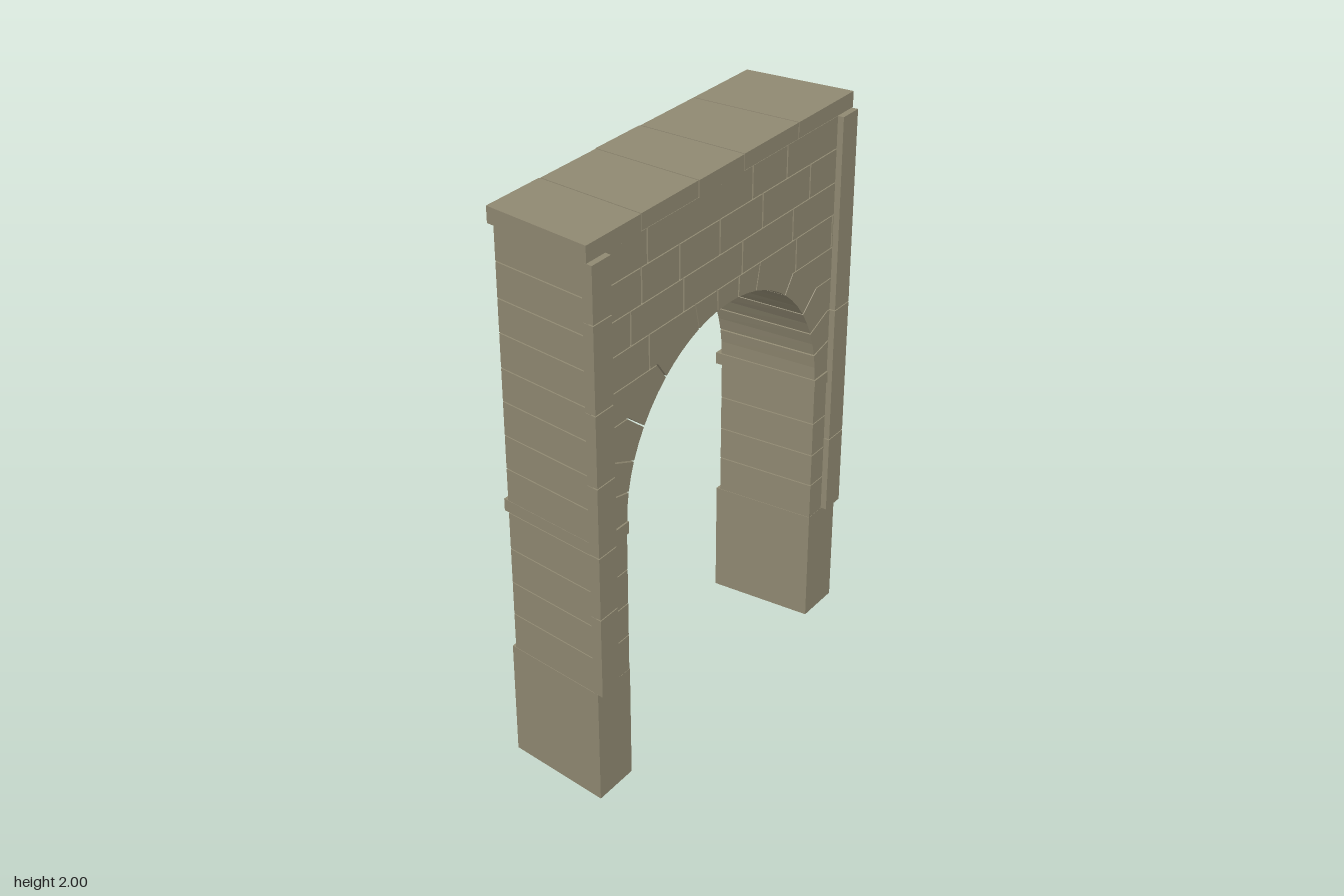
import * as THREE from 'three';

const stone = new THREE.MeshStandardMaterial({ color: 0x8f8871, side: THREE.DoubleSide });
stone.name = 'stone';

const OUT = 0.703, RX = 0.537, RY = 0.525, SPRING = 1.0, BASE = 0.43, TOP = 1.945, CROWN = 1.595;
const FRONT = 0.184, BACK = -0.184;
const BED = 0.002, UPRIGHT = 0.0035; // half widths of the open joints

// The whole arch narrows towards the back
function taper(geometry) {
  const p = geometry.attributes.position;
  for (let i = 0; i < p.count; i++) p.setX(i, p.getX(i) * (1 - 0.15 * (0.2 - p.getZ(i))));
  geometry.computeVertexNormals();
  return geometry;
}

const block = (x0, x1, y0, y1, z0 = BACK, z1 = FRONT) =>
  new THREE.BoxGeometry(Math.abs(x1 - x0), y1 - y0, z1 - z0)
    .translate((x0 + x1) / 2, (y0 + y1) / 2, (z0 + z1) / 2);

// A stone given by its outline in the elevation
const outlined = (points, s) =>
  new THREE.ExtrudeGeometry(new THREE.Shape(points.map(([x, y]) => new THREE.Vector2(s * x, y))),
    { depth: FRONT - BACK, bevelEnabled: false }).translate(0, 0, BACK);

// Points on the underside of the arch between two angles in degrees
function arc(from, to) {
  const n = Math.ceil((to - from) / 6.5), points = [];
  for (let i = 0; i <= n; i++) {
    const a = THREE.MathUtils.degToRad(from + (to - from) * i / n);
    points.push([RX * Math.cos(a), SPRING + RY * Math.sin(a)]);
  }
  return points;
}

export function createModel() {
  const model = new THREE.Group();
  model.name = 'stoneArch';

  const add = (name, geometry) => {
    const mesh = new THREE.Mesh(taper(geometry), stone);
    mesh.name = name;
    model.add(mesh);
  };

  // A row of stones with open upright joints
  const course = (name, xs, y0, y1) => {
    for (let i = 0; i < xs.length - 1; i++) {
      add(name, block(xs[i] + (i > 0 ? UPRIGHT : 0), xs[i + 1] - (i < xs.length - 2 ? UPRIGHT : 0),
        y0 + BED, y1 - BED));
    }
  };

  // Top slabs
  const cuts = [-0.707, -0.45, -0.165, 0.075, 0.38, 0.707];
  for (let i = 0; i < 5; i++) {
    const shift = i === 0 || i === 2 ? 0.003 : 0;
    add('copingSlab', block(cuts[i] + (i > 0 ? 0.002 : 0), cuts[i + 1] - (i < 4 ? 0.002 : 0),
      TOP, 2, -0.204 - shift, 0.185 + shift / 2));
  }

  // Full-width courses above the arch
  course('upperCourse', [-OUT, -0.505, -0.24, 0.075, 0.365, OUT], CROWN, 1.71);
  course('upperCourse', [-OUT, -0.45, -0.26, -0.05, 0.185, 0.46, OUT], 1.71, 1.83);
  course('upperCourse', [-OUT, -0.42, 0.125, 0.32, OUT], 1.83, TOP);

  // Stones that flank the crown of the arch
  course('spandrelStone', [-OUT, -0.415 - UPRIGHT], 1.475, CROWN);
  course('spandrelStone', [0.39 + UPRIGHT, 0.61, OUT], 1.475, CROWN);

  // Keystone
  add('keystone', outlined([...arc(84.3, 95.7), [-0.056, CROWN - BED], [0.056, CROWN - BED]], 1));

  // Radial joints: angle, then the knee where the joint meets a bed joint
  const joints = [[0, RX, 1.0], [11, 0.615, 1.12], [22, 0.6, 1.24], [34, 0.525, 1.36],
    [52, 0.375, 1.475], [73, 0.178, CROWN], [84, 0.062, CROWN]];
  const stripJoints = { '-1': [0.73, 0.96, 1.21, 1.46, 1.755], '1': [0.725, 1.24] };

  for (const s of [-1, 1]) {
    // Hollow plinth, open underneath
    const plinth = block(s * 0.537, s * 0.705, 0, BASE, -0.198, 0.185);
    const index = Array.from(plinth.index.array);
    index.splice(18, 6);
    plinth.setIndex(index);
    plinth.clearGroups();
    add('plinth', plinth);

    // Pier stones
    const beds = [BASE, 0.565, 0.69, 0.82, 0.955];
    for (let i = 0; i < 4; i++) {
      add('pierStone', block(s * 0.539, s * OUT, beds[i] + (i > 0 ? BED : 0), beds[i + 1] - (i < 3 ? BED : 0)));
    }

    // Projecting band at the springing
    add('impost', block(s * 0.534, s * 0.7, 0.955, 1.0 - BED, -0.205, 0.188));

    // Arch stones, each running out into its course
    for (let i = 0; i < joints.length - 1; i++) {
      const [a0, x0, y0] = joints[i], [a1, x1, y1] = joints[i + 1];
      const points = arc(a0 + (i > 0 ? 0.3 : 0), a1 - 0.3);
      points.push([x1 + BED, y1 - BED]);
      if (i < 4) points.push([OUT, y1 - BED], [OUT, y0 + BED]);
      if (i === 4) {
        const end = (s > 0 ? 0.39 : 0.415) - UPRIGHT;
        points.push([end, y1 - BED], [end, y0 + BED]);
      }
      if (i > 0) points.push([x0 - BED, y0 + (i < 5 ? BED : -BED)]);
      add('archStone', outlined(points, s));
    }

    // Upright corner strip on the front
    const ends = [BASE, ...stripJoints[s], TOP];
    for (let i = 0; i < ends.length - 1; i++) {
      add('cornerStrip', block(s * 0.617, s * 0.7045, ends[i] + (i > 0 ? BED : 0),
        ends[i + 1] - BED, 0.165, 0.205));
    }
  }

  return model;
}
